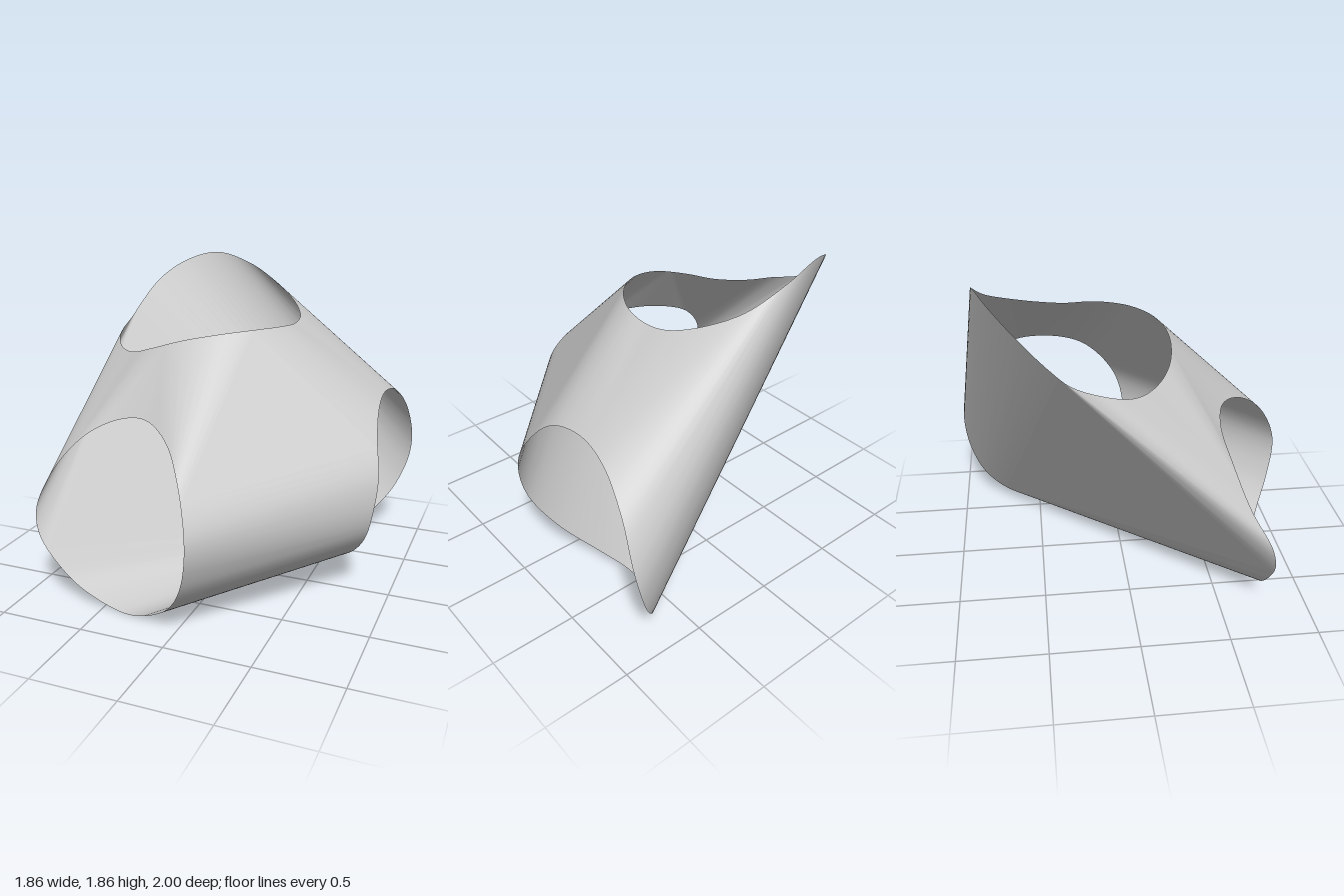
import * as THREE from 'three';
import { toCreasedNormals } from 'three/addons/utils/BufferGeometryUtils.js';

const V = (p) => new THREE.Vector3(...p);
const CENTER = V([0.05, 0.7, -0.05]);
// Normals of the two flat triangles that touch all three rims
const FRONT_DIR = V([1, 1, 1]);
const BACK_DIR = V([-1.14, -0.9, -1]);

// Closed saddle-shaped rims of the three openings
const FRONT_RIM = [
  [-0.93, 0.55, 0.71], [-0.87, 0.75, 0.6], [-0.7, 0.95, 0.525], [-0.5, 1.06, 0.5],
  [-0.3, 1.1, 0.55], [-0.1, 1.04, 0.7], [0.05, 0.88, 0.88], [0.135, 0.62, 1.0],
  [0.1, 0.38, 0.97], [0, 0.19, 0.89], [-0.15, 0.06, 0.81], [-0.35, 0, 0.76],
  [-0.64, 0.105, 0.75], [-0.815, 0.28, 0.76], [-0.9, 0.41, 0.75],
];
const SIDE_RIM = [
  [0.9, 0.52, 0.12], [0.92, 0.74, 0.08], [0.875, 0.95, -0.05], [0.845, 1.07, -0.2],
  [0.83, 1.12, -0.43], [0.855, 1.08, -0.65], [0.9, 0.92, -0.85], [0.925, 0.68, -0.97],
  [0.9, 0.5, -1.0], [0.82, 0.3, -0.96], [0.7, 0.15, -0.85], [0.58, 0.06, -0.65],
  [0.55, 0.04, -0.43], [0.62, 0.09, -0.25], [0.76, 0.22, -0.05], [0.86, 0.38, 0.08],
];
const TOP_RIM = [
  [-0.81, 1.49, -0.33], [-0.8, 1.42, -0.15], [-0.72, 1.37, 0], [-0.58, 1.37, 0.13],
  [-0.42, 1.42, 0.22], [-0.2, 1.49, 0.25], [0, 1.53, 0.2], [0.17, 1.545, 0.07],
  [0.28, 1.54, -0.12], [0.3, 1.53, -0.3], [0.28, 1.55, -0.45], [0.18, 1.61, -0.62],
  [0.03, 1.69, -0.75], [-0.18, 1.8, -0.81], [-0.4, 1.865, -0.79], [-0.58, 1.82, -0.71],
  [-0.72, 1.71, -0.58], [-0.79, 1.57, -0.43],
];

// Index of the point lying farthest along a direction
function extreme(points, dir) {
  return points.reduce((best, p, i) => (p.dot(dir) > points[best].dot(dir) ? i : best), 0);
}

// Sample a rim and split it into two arcs running from its front to its back contact
function makeRim(controls) {
  const curve = new THREE.CatmullRomCurve3(controls.map(V), true, 'centripetal');
  const points = curve.getSpacedPoints(96).slice(0, -1);
  const start = extreme(points, FRONT_DIR);
  const loop = [...points.slice(start), ...points.slice(0, start), points[start]];
  const back = extreme(loop, BACK_DIR);
  const middle = points.reduce((s, p) => s.add(p), V([0, 0, 0])).divideScalar(points.length);
  return { arcs: [loop.slice(0, back + 1), loop.slice(back).reverse()], middle,
    front: loop[0], back: loop[back] };
}

// The arc of a rim which faces another rim
function facingArc(rim, other) {
  const distance = (arc) => arc.reduce((s, p) => s + p.distanceTo(other.middle), 0) / arc.length;
  const [a, b] = rim.arcs;
  return distance(a) < distance(b) ? a : b;
}

function signedVolume(a, b, c) {
  const u = a.clone().sub(CENTER), v = b.clone().sub(CENTER), w = c.clone().sub(CENTER);
  return u.dot(v.cross(w));
}

// Taut strip between two arcs: the triangulation enclosing the most volume
function stripTriangles(A, B) {
  const mid = (arc) => arc[arc.length >> 1];
  const sign = Math.sign(signedVolume(A[0], mid(B), mid(A))) || 1;
  const n = A.length, m = B.length;
  const score = [], fromA = [];
  for (let i = 0; i < n; i++) {
    score.push([]);
    fromA.push([]);
    for (let j = 0; j < m; j++) {
      const viaA = i ? score[i - 1][j] + sign * signedVolume(A[i - 1], B[j], A[i]) : -Infinity;
      const viaB = j ? score[i][j - 1] + sign * signedVolume(A[i], B[j - 1], B[j]) : -Infinity;
      fromA[i][j] = viaA >= viaB;
      score[i][j] = i || j ? Math.max(viaA, viaB) : 0;
    }
  }
  const triangles = [];
  for (let i = n - 1, j = m - 1; i || j;) {
    if (fromA[i][j]) { triangles.push([A[i - 1], B[j], A[i]]); i--; }
    else { triangles.push([A[i], B[j - 1], B[j]]); j--; }
  }
  return triangles;
}

// Mesh from triangles, each wound to face away from the centre
function addSkin(group, name, triangles, material) {
  const positions = [];
  for (const [a, b, c] of triangles) {
    const corners = signedVolume(a, b, c) > 0 ? [a, b, c] : [a, c, b];
    corners.forEach((p) => positions.push(p.x, p.y, p.z));
  }
  const geometry = new THREE.BufferGeometry();
  geometry.setAttribute('position', new THREE.Float32BufferAttribute(positions, 3));
  const mesh = new THREE.Mesh(toCreasedNormals(geometry, 0.5), material);
  mesh.name = name;
  group.add(mesh);
}

export function createModel() {
  const group = new THREE.Group();
  group.name = 'threeWayShell';
  const material = new THREE.MeshStandardMaterial({ color: 0xcccccc, side: THREE.DoubleSide });
  const front = makeRim(FRONT_RIM), side = makeRim(SIDE_RIM), top = makeRim(TOP_RIM);

  // Curved walls joining each pair of openings
  const walls = { frontSideWall: [front, side], sideTopWall: [side, top], topFrontWall: [top, front] };
  for (const [name, [a, b]] of Object.entries(walls)) {
    addSkin(group, name, stripTriangles(facingArc(a, b), facingArc(b, a)), material);
  }

  // Flat triangles closing the shell between the walls
  addSkin(group, 'frontPanel', [[front.front, side.front, top.front]], material);
  addSkin(group, 'backPanel', [[front.back, side.back, top.back]], material);
  return group;
}
